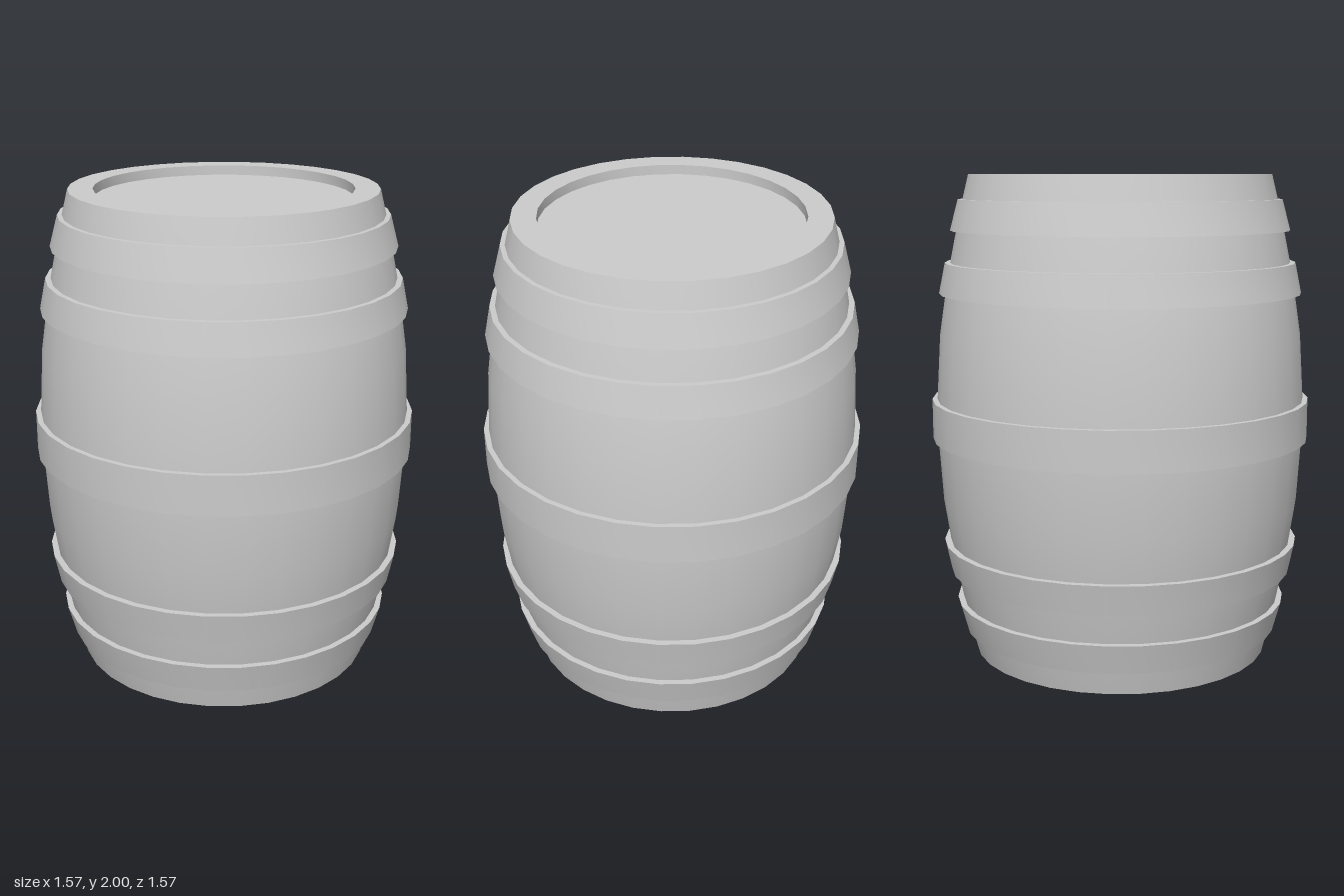
import * as THREE from 'three';
import { toCreasedNormals } from 'three/addons/utils/BufferGeometryUtils.js';

const SEGMENTS = 32;
const material = new THREE.MeshStandardMaterial({ color: 0xcccccc });

// Turns a [radius, height] outline around the y axis, keeping corners sharp
function turned(name, outline) {
  const points = outline.map(([r, y]) => new THREE.Vector2(r, y));
  const geometry = toCreasedNormals(new THREE.LatheGeometry(points, SEGMENTS), 0.5);
  const mesh = new THREE.Mesh(geometry, material);
  mesh.name = name;
  return mesh;
}

// A band with a slanted outer face, its inner edges sunk into the staves
function hoop(name, y0, r0, y1, r1) {
  const sink = 0.05;
  return turned(name, [[r0 - sink, y0], [r0, y0], [r1, y1], [r1 - sink, y1]]);
}

export function createModel() {
  const barrel = new THREE.Group();
  barrel.name = 'barrel';

  // Lower half of the outline: recessed head, rim, bulging staves
  const lower = [
    [0, 0.04], [0.52, 0.04], [0.52, 0], [0.62, 0], [0.645, 0.1],
    [0.673, 0.225], [0.7, 0.355], [0.722, 0.48], [0.748, 0.65], [0.765, 0.92],
  ];
  const upper = lower.map(([r, y]) => [r, 2 - y]).reverse();
  barrel.add(turned('body', [...lower, ...upper]));

  // Two hoops at each end, mirrored, and one around the middle
  const hoops = [
    ['endHoop', 0.1, 0.664, 0.225, 0.698],
    ['quarterHoop', 0.355, 0.722, 0.48, 0.748],
  ];
  for (const [name, y0, r0, y1, r1] of hoops) {
    barrel.add(hoop(name + 'Lower', y0, r0, y1, r1));
    barrel.add(hoop(name + 'Upper', 2 - y1, r1, 2 - y0, r0));
  }
  barrel.add(hoop('middleHoop', 0.918, 0.786, 1.082, 0.786));

  return barrel;
}
